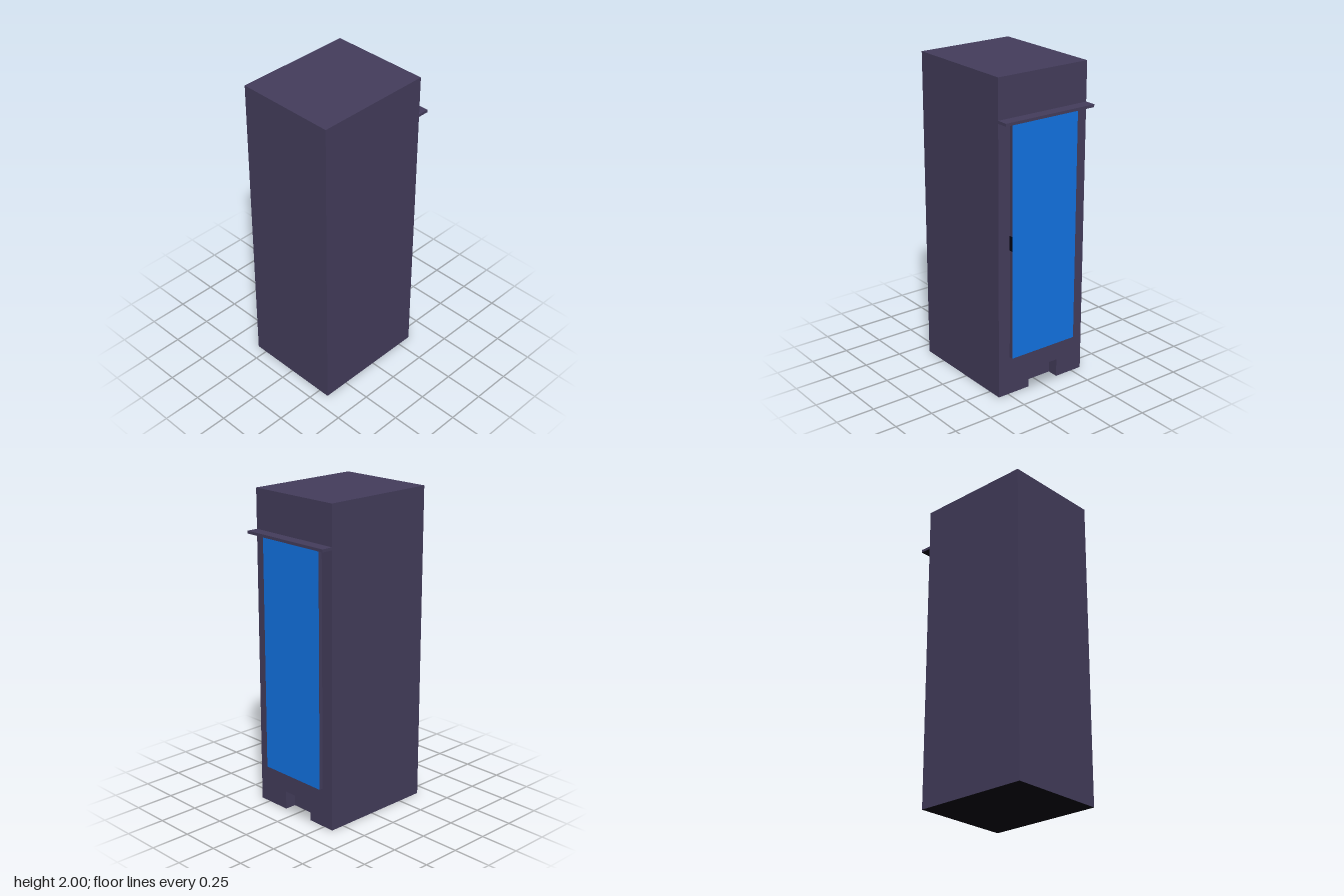
import * as THREE from 'three';

const W = 0.321;       // half width
const FRONT = 0.415;
const BACK = -0.343;   // rear face of the cabinet
const NOTCH = 0.072;   // depth of the foot recess
const DOOR = -0.368;   // outer face of the door
const LEDGE = -0.415;  // outer edge of the ledge
const GAP = 0.001;     // lift of painted faces off their part

export function createModel() {
  const casing = new THREE.MeshStandardMaterial({ color: 0x443d5c });
  casing.name = 'casing';
  const blue = new THREE.MeshStandardMaterial({ color: 0x1273e4 });
  blue.name = 'bluePanel';
  const dark = new THREE.MeshStandardMaterial({ color: 0x020110 });
  dark.name = 'darkUnderside';

  const group = new THREE.Group();
  group.name = 'cabinet';

  const add = (name, geometry, mat, x, y, z) => {
    const mesh = new THREE.Mesh(geometry, mat);
    mesh.position.set(x, y, z);
    mesh.name = name;
    group.add(mesh);
    return mesh;
  };

  // Box given by its minimum and maximum corners
  const box = (name, [x0, y0, z0], [x1, y1, z1]) =>
    add(name, new THREE.BoxGeometry(x1 - x0, y1 - y0, z1 - z0), casing,
      (x0 + x1) / 2, (y0 + y1) / 2, (z0 + z1) / 2);

  // Dark face looking straight down
  const underside = (name, x0, x1, z0, z1, y) => {
    const geometry = new THREE.PlaneGeometry(x1 - x0, z1 - z0).rotateX(Math.PI / 2);
    add(name, geometry, dark, (x0 + x1) / 2, y, (z0 + z1) / 2);
  };

  // Main cabinet body
  box('body', [-W, GAP, BACK + NOTCH], [W, 2, FRONT]);
  underside('bodyUnderside', -W, W, BACK, FRONT, 0);

  // Rear wall with a recess cut into its lower edge
  const [n0, n1, nTop] = [-0.127, 0.094, 0.118];
  const outline = new THREE.Shape([
    [-W, GAP], [n0, GAP], [n0, nTop], [n1, nTop],
    [n1, GAP], [W, GAP], [W, 2], [-W, 2],
  ].map(([x, y]) => new THREE.Vector2(x, y)));
  add('rearWall', new THREE.ExtrudeGeometry(outline, { depth: NOTCH, bevelEnabled: false }),
    casing, 0, 0, BACK);
  underside('recessCeiling', n0, n1, BACK, BACK + NOTCH, nTop - GAP);

  // Door with its blue face, dark lower edge and a grip on one side
  const [d0, d1, dBottom, dTop] = [-0.238, 0.239, 0.25, 1.735];
  box('door', [d0, dBottom, DOOR + GAP], [d1, dTop, BACK]);
  add('doorFace', new THREE.PlaneGeometry(d1 - d0, dTop - dBottom).rotateY(Math.PI),
    blue, (d0 + d1) / 2, (dTop + dBottom) / 2, DOOR);
  underside('doorUnderside', d0, d1, DOOR, BACK, dBottom - GAP);
  add('doorGrip', new THREE.PlaneGeometry(BACK - DOOR, 0.093).rotateY(Math.PI / 2),
    dark, d1 + GAP, 0.9965, (DOOR + BACK) / 2);

  // Ledge above the door
  box('ledge', [-W, 1.735, LEDGE], [W, 1.7525, BACK]);
  underside('ledgeUnderside', -W, W, LEDGE, BACK, 1.735 - GAP);

  return group;
}
